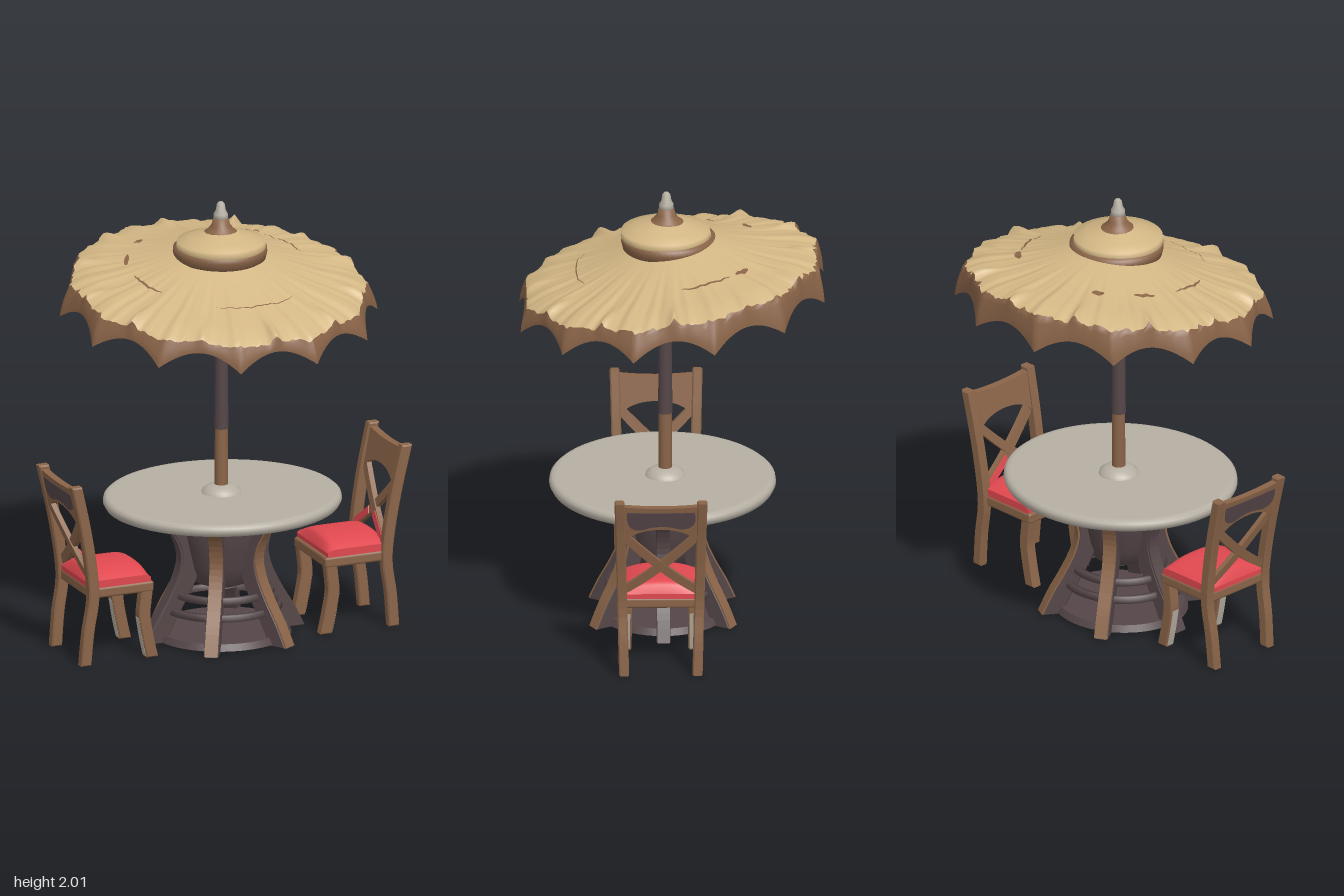
import * as THREE from 'three';
import { RoundedBoxGeometry } from 'three/addons/geometries/RoundedBoxGeometry.js';

const mat = (name, color) => Object.assign(new THREE.MeshStandardMaterial({ color }), { name });
const straw = mat('straw', 0xd2b684);
const wood = mat('wood', 0x8a6448);
const darkWood = mat('dark wood', 0x554648);
const stone = mat('stone', 0xb6afa3);
const red = mat('red fabric', 0xe0484f);

const { lerp, smoothstep, degToRad: rad } = THREE.MathUtils;

function add(parent, name, geo, material, x = 0, y = 0, z = 0) {
  const m = new THREE.Mesh(geo, material);
  m.name = name;
  m.position.set(x, y, z);
  parent.add(m);
  return m;
}

const lathe = (pts, seg = 48) =>
  new THREE.LatheGeometry(pts.map(p => new THREE.Vector2(...p)), seg);

// Curved upright: path of [x, y], thickness from path offset a to b, extruded along z
function upright(path, a, b, depth, bevel = 0.006) {
  const pts = new THREE.SplineCurve(path.map(p => new THREE.Vector2(...p))).getPoints(20);
  const edge = o => pts.map(p => new THREE.Vector2(p.x + o, p.y));
  const shape = new THREE.Shape([...edge(a + bevel), ...edge(b - bevel).reverse()]);
  const geo = new THREE.ExtrudeGeometry(shape, {
    depth: depth - 2 * bevel, bevelEnabled: bevel > 0, bevelSize: bevel, bevelThickness: bevel, bevelSegments: 1,
  });
  return geo.translate(0, 0, bevel - depth / 2);
}

// ---------- canopy surface: v 0..1 is the thatch, 1..2 the scalloped skirt ----------
const profile = new THREE.SplineCurve([[0.17, 1.77], [0.3, 1.725], [0.45, 1.68], [0.58, 1.65], [0.668, 1.615]]
  .map(p => new THREE.Vector2(...p)));
const wobble = t => 0.4 * Math.sin(17 * t) + 0.35 * Math.sin(41 * t + 1) + 0.25 * Math.sin(67 * t + 2);

function canopyPoint(t, v, lift) {
  const step = Math.PI / 6;
  const off = t - Math.round(t / step) * step;       // angle from the panel's middle
  const s = off / (step / 2);
  const k = Math.cos(step / 2) / Math.cos(off);      // twelve-sided outline
  const u = Math.min(v, 1), w = Math.max(v - 1, 0);
  const p = profile.getPoint(u);
  const fade = 1 - w;
  const rib = Math.exp(-((off / 0.03) ** 2)) * smoothstep(u, 0.6, 0.92) * 0.03;
  const crease = wobble(t) * 0.009 * smoothstep(u, 0.1, 0.7);
  const flare = lerp(0.35, 1, s * s);                // tips hook outward
  const r = p.x * lerp(1, k, u) + 0.03 * flare * Math.sin(w * Math.PI / 2) * k;
  const z = r * Math.cos(t);
  const bottom = 1.55 - 0.075 * s * s;
  const y = lerp(p.y, bottom, w) + (rib + crease) * fade - lerp(0.14, 0.1, w) * z + lift;
  return [r * Math.sin(t) * (1 + 0.025 * w * flare), y, z];
}

function canopySheet(t0, t1, n, v0, v1, rows, lift, under = false) {
  const pos = [], idx = [];
  for (let j = 0; j <= rows; j++) {
    for (let i = 0; i <= n; i++) {
      const t = lerp(t0, t1, i / n), v = lerp(v0(t, i / n), v1(t, i / n), j / rows);
      pos.push(...canopyPoint(t, v, under ? lift * Math.min(1, 2 - v) : lift));
      if (i < n && j < rows) {
        const a = j * (n + 1) + i, b = a + n + 1;
        if (under) idx.push(a, a + 1, b, b, a + 1, b + 1);
        else idx.push(a, b, a + 1, b, b + 1, a + 1);
      }
    }
  }
  const geo = new THREE.BufferGeometry();
  geo.setAttribute('position', new THREE.Float32BufferAttribute(pos, 3));
  geo.setIndex(idx);
  geo.computeVertexNormals();
  return geo;
}

function makeParasol() {
  const g = new THREE.Group();
  g.name = 'parasol';
  const a = rad(15), b = a + Math.PI * 2, n = 264;
  const edge = t => 1.01 + 0.04 * Math.cos(t) + 0.08 * wobble(t * 2);
  add(g, 'thatch', canopySheet(a, b, n, () => 0, edge, 14, 0), straw);
  add(g, 'scallopedSkirt', canopySheet(a, b, n, edge, () => 2, 8, 0), wood);
  add(g, 'canopyUnderside', canopySheet(a, b, n, () => 0, () => 2, 18, -0.018, true), darkWood);

  // worn streaks: [start degrees, end degrees, position along the slope, half width]
  const streaks = [[-26, 27, 0.47, 0.005], [95, 128, 0.45, 0.011], [-92, -62, 0.43, 0.01],
    [-148, -140, 0.45, 0.028], [-122, -108, 0.44, 0.018], [131, 142, 0.46, 0.025]];
  for (const [d0, d1, v, h] of streaks) {
    const half = f => h * Math.sqrt(Math.sin(Math.PI * f));
    add(g, 'wornStreak', canopySheet(rad(d0), rad(d1), 24, (t, f) => v - half(f), (t, f) => v + half(f), 1, 0.005), wood);
  }

  // raised top tier and finial
  add(g, 'capBand', lathe([[0.185, 1.79], [0.185, 1.728], [0.203, 1.74], [0.21, 1.77], [0.208, 1.792], [0.19, 1.8]]), wood, 0, 0, 0.016);
  add(g, 'capThatch', lathe([[0, 1.775], [0.19, 1.775], [0.2, 1.795], [0.197, 1.822], [0.14, 1.838], [0.06, 1.868]]), straw, 0, 0, 0.028);
  add(g, 'capNeck', lathe([[0.085, 1.855], [0.06, 1.872], [0.042, 1.895], [0.034, 1.925], [0, 1.93]], 24), wood, 0, 0, 0.025);
  add(g, 'finial', lathe([[0.02, 1.915], [0.033, 1.925], [0.032, 1.945], [0.022, 1.965], [0.018, 1.99], [0.01, 2], [0, 2]], 12), stone, 0, 0, 0.025);
  // patches on the underside of the cap
  const sector = (d, span) => new THREE.CircleGeometry(0.17, 24, rad(d - span / 2), rad(span)).rotateX(Math.PI / 2);
  add(g, 'capLiningPale', sector(-100, 130), stone, 0, 1.772, 0.028);
  add(g, 'capLiningRed', sector(-10, 45), red, 0, 1.772, 0.028);

  // pole in two colours
  add(g, 'lowerPole', new THREE.CylinderGeometry(0.029, 0.03, 0.35, 20), wood, 0, 0.785, 0.03);
  add(g, 'upperPole', new THREE.CylinderGeometry(0.025, 0.032, 0.83, 20), darkWood, 0, 1.365, 0.03);
  add(g, 'poleCollar', lathe([[0.092, 0.645], [0.085, 0.665], [0.06, 0.683], [0.03, 0.69]], 24), stone, 0, 0, 0.03);
  return g;
}

function makeTable() {
  const g = new THREE.Group();
  g.name = 'table';
  g.position.z = 0.042;
  g.scale.z = 0.94;
  add(g, 'tableTop', lathe([[0, 0.6], [0.5, 0.595], [0.525, 0.602], [0.536, 0.622], [0.533, 0.64], [0.52, 0.651], [0.5, 0.653], [0, 0.653]], 72), stone);
  add(g, 'tableUnderside', new THREE.CylinderGeometry(0.46, 0.46, 0.009, 64), wood, 0, 0.594, 0);
  add(g, 'innerPot', lathe([[0, 0.235], [0.08, 0.232], [0.125, 0.25], [0.155, 0.33], [0.175, 0.42], [0.2, 0.52], [0.19, 0.57], [0, 0.575]], 24), darkWood);
  add(g, 'potFoot', new THREE.CylinderGeometry(0.08, 0.07, 0.012, 20), stone, 0, 0.229, 0);
  add(g, 'baseDisc', new THREE.CylinderGeometry(0.295, 0.31, 0.03, 48), [darkWood, darkWood, wood], 0, 0.018, 0);
  for (const [r, y] of [[0.27, 0.14], [0.235, 0.21]])
    add(g, 'baseRing', lathe([[r - 0.025, y - 0.014], [r, y - 0.014], [r - 0.008, y + 0.014], [r - 0.03, y + 0.014], [r - 0.025, y - 0.014]]), darkWood);

  // six waisted legs; those beside the chairs are dark, the others have a lighter outer face
  const path = [[0.385, 0], [0.335, 0.1], [0.275, 0.2], [0.227, 0.3], [0.212, 0.39], [0.25, 0.49], [0.345, 0.6]];
  for (let i = 0; i < 6; i++) {
    const leg = new THREE.Group();
    leg.name = 'tableLeg';
    leg.rotation.y = i * Math.PI / 3;
    add(leg, 'legBody', upright(path, -0.1, -0.006, 0.066), darkWood);
    add(leg, 'legFace', upright(path, -0.009, 0, 0.06, 0), i % 3 ? wood : darkWood);
    g.add(leg);
  }
  return g;
}

// ---------- chair, standing on the +x side and facing the table ----------
const backPath = [[0.745, 0], [0.732, 0.15], [0.71, 0.3], [0.722, 0.45], [0.755, 0.64], [0.798, 0.83]];
const frontPath = [[0.422, 0], [0.44, 0.08], [0.457, 0.18], [0.453, 0.25], [0.442, 0.335]];
const backX = y => lerp(0.72, 0.798, (y - 0.44) / 0.39);

// Flat shape drawn in (z, y), laid along the leaning back
function backPanel(shape, depth, off) {
  const geo = new THREE.ExtrudeGeometry(shape, { depth, bevelEnabled: false, curveSegments: 16 });
  geo.rotateY(Math.PI / 2).translate(off - depth / 2, 0, 0);
  const p = geo.attributes.position;
  for (let i = 0; i < p.count; i++) p.setX(i, p.getX(i) + backX(p.getY(i)));
  geo.computeVertexNormals();
  return geo;
}

function makeChair() {
  const g = new THREE.Group();
  g.name = 'chair';
  for (const s of [-1, 1]) {
    const back = upright(backPath, -0.025, 0.025, 0.045);
    const p = back.attributes.position;
    for (let i = 0; i < p.count; i++) p.setZ(i, p.getZ(i) + s * (0.163 + 0.025 * p.getY(i)));
    add(g, 'backPost', back, wood);
    add(g, 'frontLeg', upright(frontPath, -0.028, 0.028, 0.05), wood, 0, 0, s * 0.15);
    // pale worn strip on the rear of the front leg
    add(g, 'legWear', upright(frontPath.slice(0, 3), 0.026, 0.0295, 0.036, 0), stone, 0, 0, s * 0.15);

    // one bowed arm of the crossed back, red on the lower inner face
    const arm = new THREE.Shape();
    arm.moveTo(s * 0.17, 0.405);
    arm.quadraticCurveTo(s * 0.02, 0.5, -s * 0.17, 0.7);
    arm.lineTo(-s * 0.17, 0.645);
    arm.quadraticCurveTo(0, 0.46, s * 0.17, 0.36);
    add(g, 'crossBrace', backPanel(arm, 0.024, s * 0.003), wood);
    const lining = new THREE.Shape([[0.165, 0.4], [0.035, 0.495], [0.02, 0.465], [0.165, 0.365]]
      .map(([z, y]) => new THREE.Vector2(s * z, y)));
    add(g, 'braceLining', backPanel(lining, 0.005, -0.0155), red);
  }
  // arched top rail with a dark worn patch
  const rail = new THREE.Shape();
  rail.moveTo(-0.175, 0.82);
  rail.quadraticCurveTo(0, 0.8, 0.175, 0.82);
  rail.lineTo(0.175, 0.62);
  rail.quadraticCurveTo(0.13, 0.7, 0, 0.702);
  rail.quadraticCurveTo(-0.13, 0.7, -0.175, 0.62);
  add(g, 'topRail', backPanel(rail, 0.034, 0), wood);
  const patch = new THREE.Shape();
  patch.moveTo(-0.15, 0.79);
  patch.quadraticCurveTo(0, 0.785, 0.15, 0.79);
  patch.quadraticCurveTo(0.17, 0.7, 0.08, 0.705);
  patch.quadraticCurveTo(0, 0.73, -0.07, 0.705);
  patch.quadraticCurveTo(-0.16, 0.68, -0.15, 0.79);
  add(g, 'railPatch', backPanel(patch, 0.004, 0.018), darkWood);

  add(g, 'seatFrame', new RoundedBoxGeometry(0.31, 0.05, 0.355, 2, 0.012), wood, 0.57, 0.325, 0);
  // domed cushion
  const cushion = new THREE.BoxGeometry(0.295, 0.08, 0.345, 20, 1, 20);
  const p = cushion.attributes.position;
  for (let i = 0; i < p.count; i++) {
    if (p.getY(i) < 0) continue;
    const u = p.getX(i) / 0.1475, v = p.getZ(i) / 0.1725;
    p.setY(i, -0.015 + 0.056 * Math.sqrt(Math.max(0, 1 - u ** 6)) * (1 - 0.75 * Math.abs(v) ** 2.5));
  }
  cushion.computeVertexNormals();
  add(g, 'cushion', cushion, red, 0.575, 0.383, 0);
  return g;
}

export function createModel() {
  const model = new THREE.Group();
  model.name = 'patioSet';
  model.add(makeParasol(), makeTable());
  for (const [name, turn] of [['leftChair', 0], ['rightChair', Math.PI]]) {
    const chair = makeChair();
    chair.name = name;
    chair.rotation.y = turn;
    chair.position.z = 0.06;
    model.add(chair);
  }
  return model;
}
